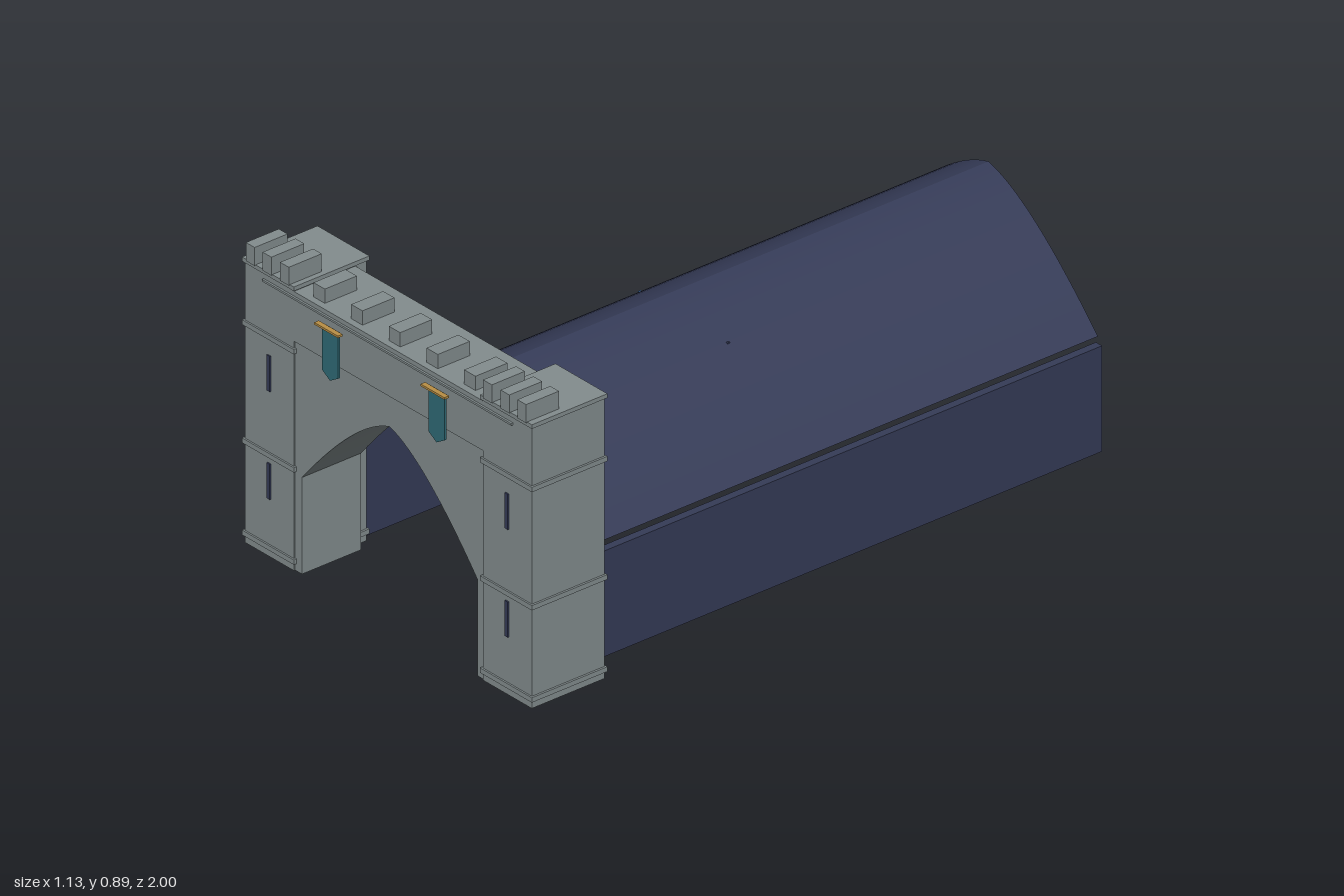
import * as THREE from 'three';
import { toCreasedNormals } from 'three/addons/utils/BufferGeometryUtils.js';

const mat = (name, color) => Object.assign(new THREE.MeshStandardMaterial({ color }), { name });

export function createModel() {
  const model = new THREE.Group();
  model.name = 'gatehouseWithVault';
  const stone = mat('grey stone', 0x838d8e);
  const navy = mat('navy', 0x353b57);
  const teal = mat('teal cloth', 0x2f6b76);
  const gold = mat('gold', 0xb98f45);
  const blue = mat('blue', 0x3c6fae);

  const add = (name, geometry, material, parent = model) => {
    const mesh = new THREE.Mesh(geometry, material);
    mesh.name = name;
    parent.add(mesh);
    return mesh;
  };
  // Box given by its extents along each axis
  const box = (name, material, [x0, x1], [y0, y1], [z0, z1], parent) => {
    const mesh = add(name, new THREE.BoxGeometry(x1 - x0, y1 - y0, z1 - z0), material, parent);
    mesh.position.set((x0 + x1) / 2, (y0 + y1) / 2, (z0 + z1) / 2);
    return mesh;
  };
  // Outline in x and y, extruded from z0 to z1
  const prism = (name, material, shape, z0, z1, parent) => {
    const geometry = new THREE.ExtrudeGeometry(shape, { depth: z1 - z0, bevelEnabled: false, curveSegments: 16 });
    geometry.translate(0, 0, z0);
    return add(name, toCreasedNormals(geometry, 0.5), material, parent);
  };
  // Plate with a pointed lower end
  const pennant = (name, material, x, w, top, shoulder, tip, z0, z1, parent) => {
    const shape = new THREE.Shape([
      [x - w, top], [x - w, shoulder], [x, tip], [x + w, shoulder], [x + w, top],
    ].map(([a, b]) => new THREE.Vector2(a, b)));
    return prism(name, material, shape, z0, z1, parent);
  };

  // Corner towers
  for (const side of [-1, 1]) {
    const tower = new THREE.Group();
    tower.name = side > 0 ? 'leftTower' : 'rightTower';
    model.add(tower);
    const span = (a, b) => (side > 0 ? [a, b] : [-b, -a]);
    box('towerBody', stone, span(0.368, 0.558), [0.022, 0.832], [0.732, 0.97], tower);
    for (const y of [0.05, 0.315, 0.655]) {
      box('stringCourse', stone, span(0.362, 0.564), [y - 0.007, y + 0.007], [0.727, 0.975], tower);
    }
    box('towerCap', stone, span(0.362, 0.564), [0.83, 0.842], [0.727, 0.975], tower);
    for (const x of [0.395, 0.463, 0.528]) {
      box('towerMerlon', stone, span(x - 0.017, x + 0.017), [0.84, 0.893], [0.87, 0.978], tower);
    }
    for (const y of [0.24, 0.55]) {
      box('arrowSlit', navy, span(0.457, 0.469), [y - 0.051, y + 0.051], [0.969, 0.974], tower);
    }
    // Jamb of the gateway
    box('jamb', stone, span(0.341, 0.38), [0.022, 0.3], [0.772, 0.966], tower);

    // Banner and its rod
    const x = side * 0.207;
    pennant('banner', teal, x, 0.031, 0.792, 0.662, 0.643, 0.98, 0.987);
    box('bannerRod', gold, [x - 0.046, x + 0.046], [0.79, 0.796], [0.985, 1]);
  }

  // Pointed gate arch
  const arch = new THREE.Shape();
  arch.moveTo(-0.37, 0.3);
  arch.lineTo(-0.341, 0.3);
  arch.quadraticCurveTo(-0.13, 0.555, 0, 0.592);
  arch.quadraticCurveTo(0.13, 0.555, 0.341, 0.3);
  arch.lineTo(0.37, 0.3);
  arch.lineTo(0.37, 0.682);
  arch.lineTo(-0.37, 0.682);
  prism('gateArch', stone, arch, 0.772, 0.966);

  // Parapet wall above the arch
  box('upperWall', stone, [-0.37, 0.37], [0.682, 0.825], [0.768, 0.97]);
  box('parapetLedge', stone, [-0.485, 0.485], [0.806, 0.812], [0.768, 0.976]);
  for (let i = -2; i <= 2; i++) {
    const x = i * 0.1465;
    box('parapetMerlon', stone, [x - 0.022, x + 0.022], [0.82, 0.866], [0.845, 0.95]);
  }

  // Low side walls of the passage
  for (const side of [-1, 1]) {
    const x = side * 0.43;
    box('passageWall', navy, [x - 0.012, x + 0.012], [0, 0.304], [-1, 0.91]);
  }

  // Vaulted roof shell
  const foot = 0.426, spring = 0.324, ridge = 0.645;
  const vault = new THREE.Shape();
  vault.moveTo(-foot, spring);
  vault.lineTo(-foot + 0.012, spring);
  vault.quadraticCurveTo(-0.155, 0.6, 0, ridge - 0.01);
  vault.quadraticCurveTo(0.155, 0.6, foot - 0.012, spring);
  vault.lineTo(foot, spring);
  vault.quadraticCurveTo(0.16, 0.61, 0, ridge);
  vault.quadraticCurveTo(-0.16, 0.61, -foot, spring);
  prism('vaultRoof', navy, vault, -1, 0.772);

  // Underside of the vault, used to seat the ceiling ornaments
  const inner = new THREE.QuadraticBezierCurve(
    new THREE.Vector2(0, ridge - 0.01), new THREE.Vector2(0.155, 0.6), new THREE.Vector2(foot - 0.012, spring));
  const seat = (object, side, t, drop, z) => {
    const p = inner.getPoint(t), d = inner.getTangent(t);
    object.position.set(side * (p.x + d.y * drop), p.y - d.x * drop, z);
    object.rotation.z = side * Math.atan2(d.y, d.x);
  };
  for (const side of [-1, 1]) {
    // Gilded ribs
    for (const t of [0.4, 0.78]) {
      seat(add('ceilingRib', new THREE.BoxGeometry(0.006, 0.004, 1.77), gold), side, t, 0.003, -0.114);
    }
    // Ceiling panel with a checkered border and a central rosette
    const panel = new THREE.Group();
    panel.name = 'ceilingPanel';
    model.add(panel);
    seat(panel, side, 0.58, 0.008, 0.02);
    add('panelField', new THREE.BoxGeometry(0.12, 0.006, 0.22), side < 0 ? blue : navy, panel);
    for (let i = 0; i < 11; i++) {
      for (const e of [-1, 1]) {
        const stud = add('borderStud', new THREE.BoxGeometry(0.01, 0.004, 0.011), gold, panel);
        stud.position.set(e * 0.053, -0.004, (i - 5) * 0.02);
        if (i > 5) continue;
        const endStud = add('borderStud', new THREE.BoxGeometry(0.011, 0.004, 0.01), gold, panel);
        endStud.position.set((i - 2.5) * 0.02, -0.004, e * 0.1);
      }
    }
    const rosette = add('rosette', new THREE.CylinderGeometry(0.034, 0.034, 0.005, 8), gold, panel);
    rosette.position.y = -0.004;
    rosette.scale.z = 1.8;

    // Hanging shield
    const x = side * 0.148;
    pennant('hangingShield', side < 0 ? blue : navy, x, 0.026, 0.56, 0.49, 0.477, -0.004, 0.004);
    for (const z of [-0.006, 0.004]) {
      pennant('shieldFace', gold, x, 0.018, 0.552, 0.497, 0.487, z, z + 0.002);
    }
  }

  // Hanging gold plaque at the ridge
  box('plaqueFrame', gold, [-0.023, 0.023], [0.528, 0.634], [-0.004, 0.004]);
  box('plaqueFace', gold, [-0.016, 0.016], [0.537, 0.62], [-0.007, 0.007]);

  return model;
}
